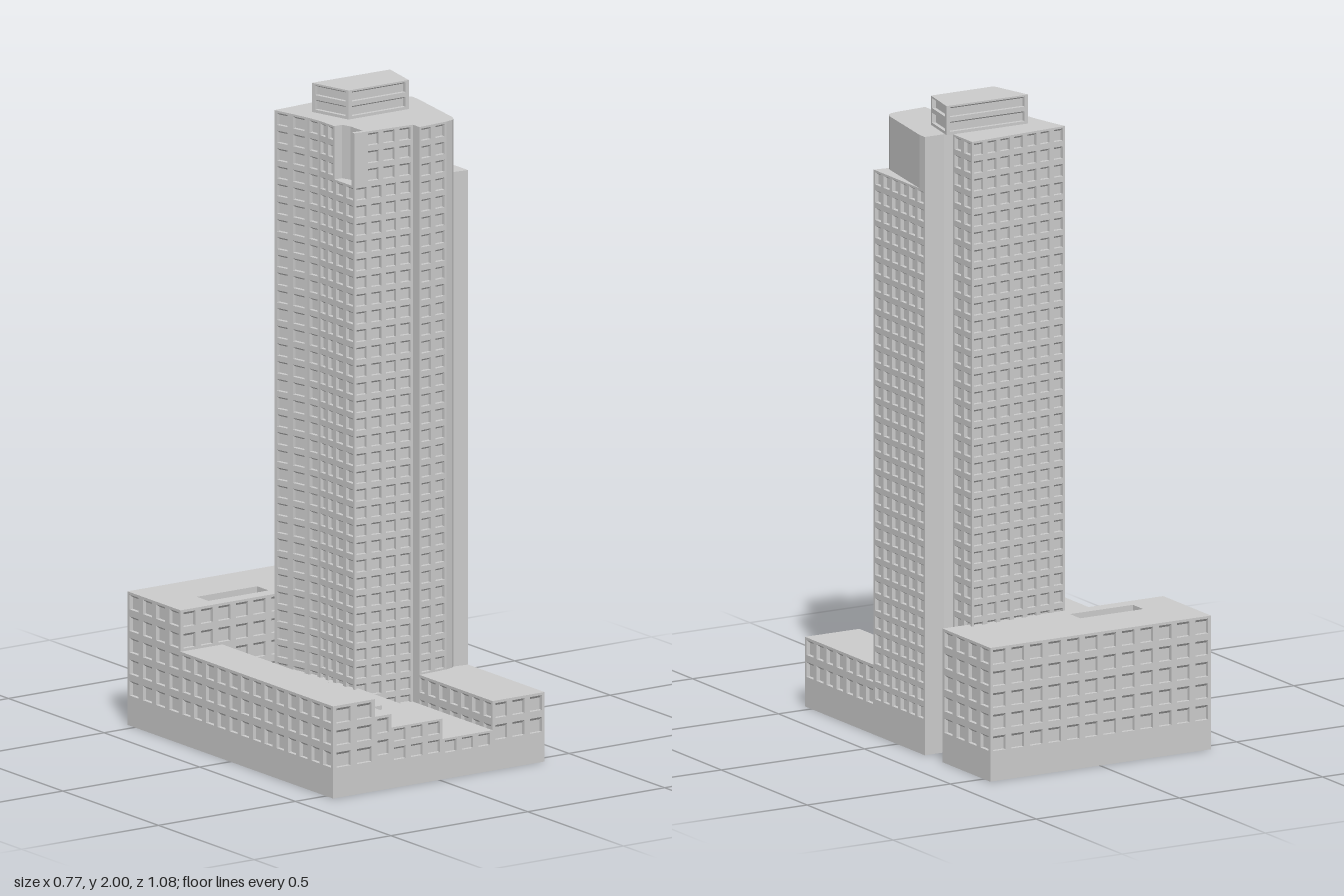
import * as THREE from 'three';

const material = new THREE.MeshStandardMaterial({ color: 0xcccccc });

// Corners run front, +x side, back, -x side; each corner is [x, z]
const rect = (x0, x1, z0, z1) => [[x0, z1], [x1, z1], [x1, z0], [x0, z0]];

// Collects quads, corners counter-clockwise from outside
function quad(out, a, b, c, d) {
  for (const p of [a, b, c, a, c, d]) out.push(...p);
}

// One wall from corner a to corner b with a grid of recessed windows
function wall(out, a, b, y0, y1, cols, rows) {
  const len = Math.hypot(b[0] - a[0], b[1] - a[1]);
  const dx = (b[0] - a[0]) / len, dz = (b[1] - a[1]) / len;
  const at = (u, y, depth = 0) => [a[0] + dx * u + dz * depth, y, a[1] + dz * u - dx * depth];
  const ring = (l, r, lo, hi, d) => [at(l, lo, d), at(r, lo, d), at(r, hi, d), at(l, hi, d)];
  if (!cols || !rows) return quad(out, ...ring(0, len, y0, y1, 0));
  const w = len / cols, h = (y1 - y0) / rows;
  for (let i = 0; i < cols; i++) for (let j = 0; j < rows; j++) {
    const l = i * w, y = y0 + j * h;
    const ml = Math.min(w * 0.16, 0.012);
    const cell = ring(l, l + w, y, y + h, 0);
    const opening = ring(l + ml, l + w - ml, y + h * 0.2, y + h * 0.88, 0);
    const pane = ring(l + ml, l + w - ml, y + h * 0.2, y + h * 0.74, 0.012);
    for (let k = 0; k < 4; k++) {
      const n = (k + 1) % 4;
      quad(out, cell[k], cell[n], opening[n], opening[k]);
      quad(out, opening[k], opening[n], pane[n], pane[k]);
    }
    quad(out, ...pane);
  }
}

// Horizontal cap over an outline, with optional holes
function cap(out, pts, y, up = true, holes = []) {
  const toVec = ([x, z]) => new THREE.Vector2(x, -z);
  const shape = new THREE.Shape(pts.map(toVec));
  holes.forEach(h => shape.holes.push(new THREE.Path(h.map(toVec))));
  const g = new THREE.ShapeGeometry(shape).toNonIndexed().getAttribute('position');
  for (let i = 0; i < g.count; i += 3) {
    for (const k of up ? [0, 1, 2] : [0, 2, 1]) out.push(g.getX(i + k), y, -g.getY(i + k));
  }
}

// Closed block: plain plinth up to yWin, then rows of windows up to y1
function block(name, pts, { y0 = 0, yWin = y0, y1, rows = 0, pitch = 0.052, plain = [], pit = null, pitY = 0 }) {
  const out = [];
  pts.forEach((a, i) => {
    const b = pts[(i + 1) % pts.length];
    const len = Math.hypot(b[0] - a[0], b[1] - a[1]);
    const cols = len < 0.05 || plain.includes(i) ? 0 : Math.max(1, Math.round(len / pitch));
    if (yWin > y0) wall(out, a, b, y0, yWin, 0, 0);
    wall(out, a, b, yWin, y1, cols, rows);
  });
  cap(out, pts, y1, true, pit ? [pit] : []);
  cap(out, pts, y0, false);
  if (pit) {
    // Sunken court: inward-facing walls and a floor
    pit.forEach((a, i) => wall(out, pit[(i + 1) % 4], a, pitY, y1, 0, 0));
    cap(out, pit, pitY);
  }
  const geo = new THREE.BufferGeometry();
  geo.setAttribute('position', new THREE.Float32BufferAttribute(out, 3));
  geo.computeVertexNormals();
  const mesh = new THREE.Mesh(geo, material);
  mesh.name = name;
  return mesh;
}

export function createModel() {
  const model = new THREE.Group();
  model.name = 'towerBlock';

  // Tower outline pieces shared by shaft and crown
  const front = [[0.195, 0.12], [0.195, 0.155], [0.3, 0.147], [0.325, 0.14], [0.336, 0.131]];
  const back = [[0.385, -0.16], [0.318, -0.16], [0.295, -0.175], [0.295, -0.285], [-0.045, -0.26],
    [-0.03, -0.2], [-0.015, -0.13], [-0.008, -0.079], [-0.008, 0]];
  const corner = [-0.008, 0.105];
  const crownY = 1.745, roofY = 1.91;

  model.add(block('towerShaft', [corner, ...front, [0.385, 0.137], ...back],
    { yWin: 0.1, y1: crownY, rows: 30, plain: [7] }));

  // Crown is cut back at the right front corner and has a pocket at the left one
  model.add(block('towerCrown',
    [[0.03, 0.108], ...front, [0.345, 0.11], [0.385, -0.13], ...back, [0.02, 0], [0.03, 0.03]],
    { y0: crownY, y1: roofY, rows: 3, plain: [6, 8, 18] }));
  model.add(block('pocketScreen', [corner, [0.03, 0.108], [0.03, 0.094], [-0.008, 0.091]],
    { y0: crownY, y1: roofY }));

  model.add(block('penthouse', [[0.072, -0.04], [0.292, -0.04], [0.318, -0.175], [0.035, -0.178]],
    { y0: roofY, y1: 2, rows: 2, pitch: 0.25 }));

  // Rear wing with a sunken court in its roof
  model.add(block('rearWing', rect(-0.388, 0.383, -0.538, -0.26),
    { yWin: 0.08, y1: 0.413, rows: 5, pitch: 0.062, pit: rect(-0.255, -0.035, -0.365, -0.305), pitY: 0.345 }));

  // Stepped podium strips: x0, x1, back z, height, window rows, plinth height
  const strips = [
    ['podiumHighStrip', -0.388, -0.235, -0.26, 0.285, 3, 0.08],
    ['podiumStepStrip', -0.235, -0.175, -0.26, 0.23, 2, 0.095],
    ['podiumTerrace', -0.175, 0.012, -0.26, 0.188, 2, 0.075],
    ['podiumLowCourt', 0.012, 0.195, 0.09, 0.125, 1, 0.07],
    ['podiumRightWing', 0.195, 0.385, 0.132, 0.215, 2, 0.08],
  ];
  for (const [name, x0, x1, z0, y1, rows, yWin] of strips) {
    model.add(block(name, rect(x0, x1, z0, 0.537), { yWin, y1, rows, pitch: 0.062 }));
  }

  // Low raised slabs on the terrace
  model.add(block('rearTerraceSlab', rect(-0.165, -0.045, -0.16, 0.025), { y0: 0.18, y1: 0.201 }));
  model.add(block('frontTerraceSlab', rect(-0.175, -0.075, 0.148, 0.345), { y0: 0.18, y1: 0.201 }));

  return model;
}
